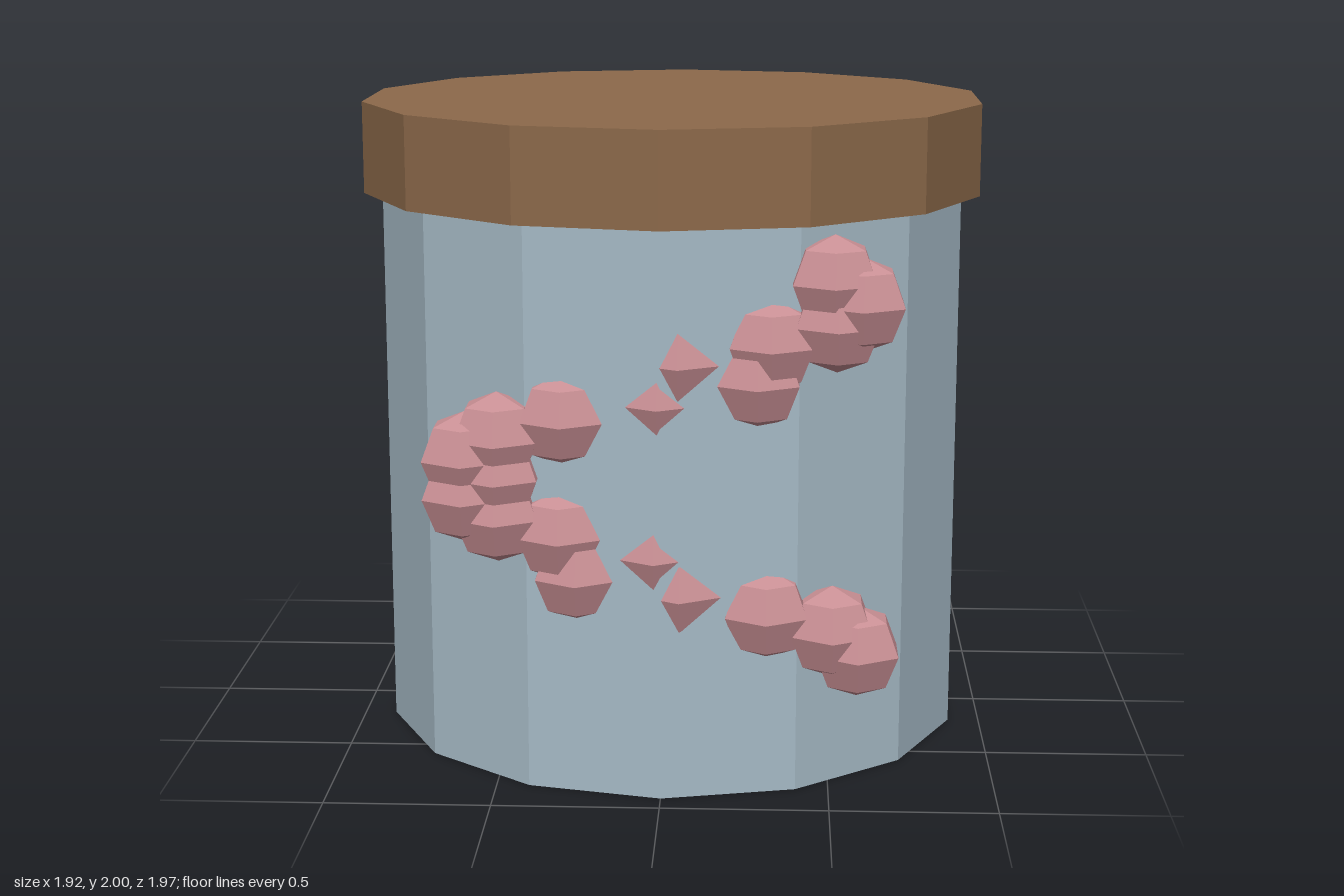
import * as THREE from 'three';

const flat = (name, color) => {
  const m = new THREE.MeshStandardMaterial({ color, flatShading: true });
  m.name = name;
  return m;
};

export function createModel() {
  const group = new THREE.Group();
  const blueGrey = flat('blue grey body', 0xa6bac6);
  const brown = flat('brown lid', 0x8c694a);
  const pink = flat('pink beads', 0xca9095);

  // 14-sided drum spanning two heights, one corner facing the front
  const drum = (name, radius, y0, y1, material) => {
    const mesh = new THREE.Mesh(new THREE.CylinderGeometry(radius, radius, y1 - y0, 14), material);
    mesh.name = name;
    mesh.position.y = (y0 + y1) / 2;
    group.add(mesh);
  };
  drum('jarBody', 0.925, 0, 1.715, blueGrey);
  drum('lid', 0.983, 1.715, 2, brown);

  // Winding trail of low-poly beads, partly sunk into the front: [x, y]
  const trail = [
    [0.58, 1.48], [0.5, 1.545], [0.51, 1.42], [0.32, 1.36], [0.28, 1.25],
    [0.05, 1.31], [-0.01, 1.19], [-0.29, 1.135], [-0.485, 1.075], [-0.58, 1.015],
    [-0.485, 0.96], [-0.58, 0.9], [-0.485, 0.84], [-0.3, 0.785], [-0.25, 0.66],
    [-0.02, 0.73], [0.055, 0.615], [0.31, 0.55], [0.505, 0.495], [0.58, 0.435],
  ];
  const beadGeometry = new THREE.SphereGeometry(0.14, 6, 4).rotateY(Math.PI / 2);
  const beads = new THREE.Group();
  beads.name = 'beadTrail';
  for (const [x, y] of trail) {
    const bead = new THREE.Mesh(beadGeometry, pink);
    bead.name = 'bead';
    bead.position.set(x, y, 0.815);
    beads.add(bead);
  }
  group.add(beads);
  return group;
}
